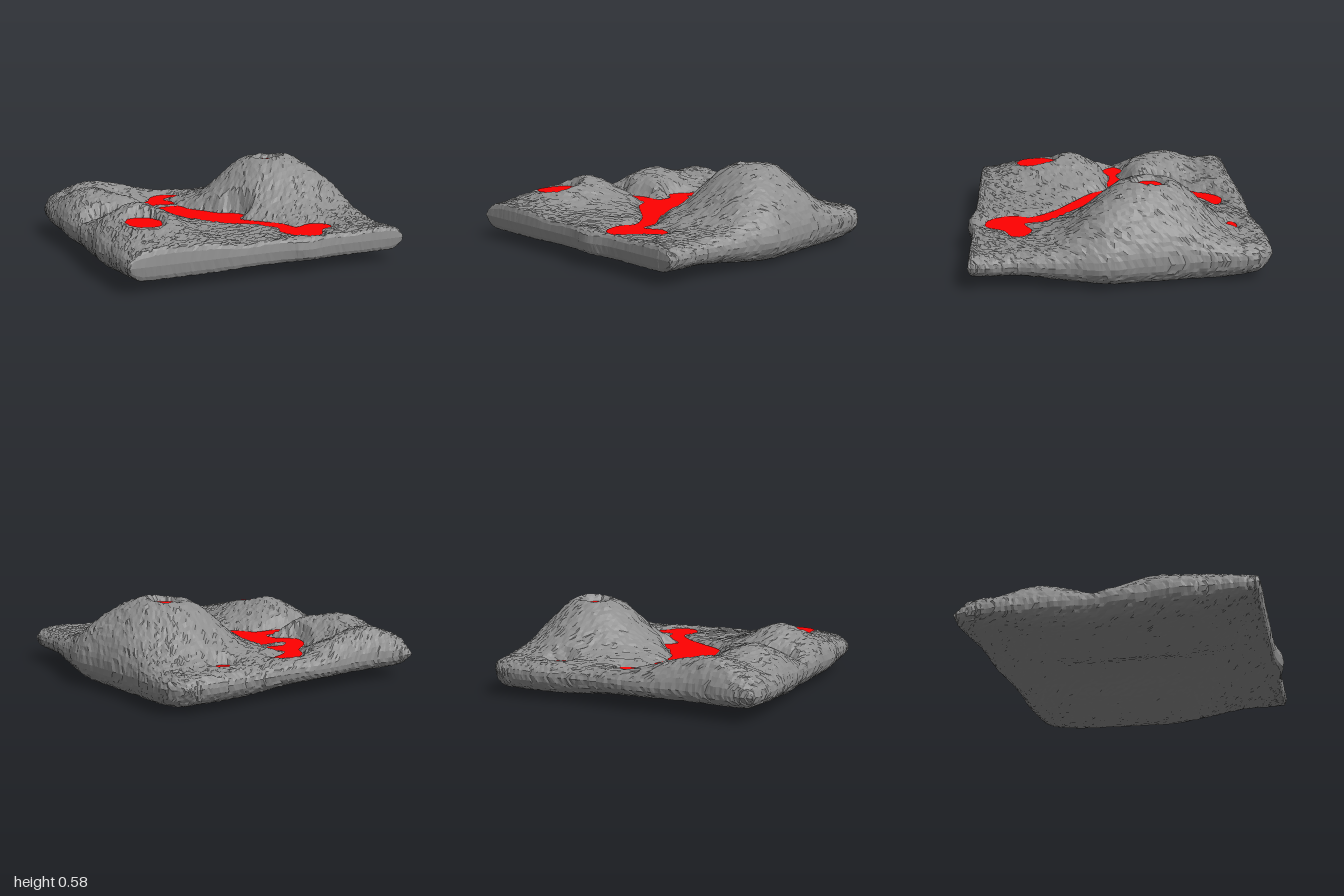
import * as THREE from 'three';

const N = 96; // grid cells per side
const bell = (d, s) => Math.exp(-(d * d) / (s * s));
const hill = (x, z, cx, cz, sx, sz) => bell(x - cx, sx) * bell(z - cz, sz);
const hash = (i, j, k) => {
  const s = Math.sin(i * 127.1 + j * 311.7 + k * 74.7) * 43758.5453;
  return s - Math.floor(s) - 0.5;
};

// Lava river outline, x and z pairs
const riverXZ = [
  0.04, -0.72, 0, -0.77, -0.11, -0.79, -0.2, -0.72, -0.25, -0.62, -0.37, -0.53, -0.44, -0.42,
  -0.45, -0.34, -0.35, -0.25, -0.35, -0.14, -0.51, -0.14, -0.67, -0.09, -0.78, -0.15, -0.88, -0.09,
  -0.8, 0, -0.64, -0.04, -0.48, -0.01, -0.35, 0, -0.27, 0.12, -0.08, 0.27, 0.08, 0.4,
  0.19, 0.56, 0.15, 0.67, 0.23, 0.83, 0.35, 0.84, 0.43, 0.72, 0.53, 0.67, 0.53, 0.59,
  0.43, 0.54, 0.31, 0.59, 0.28, 0.47, 0.16, 0.32, 0.09, 0.22, 0.17, 0.11, 0.13, 0.02,
  0.04, -0.02, -0.02, -0.13, -0.09, -0.24, -0.12, -0.37, -0.27, -0.37, -0.31, -0.4, -0.24, -0.46,
  -0.12, -0.44, -0.1, -0.53, -0.13, -0.62, -0.05, -0.68,
];

function smoothOutline(xz) {
  const pts = [];
  for (let i = 0; i < xz.length; i += 2) pts.push(new THREE.Vector3(xz[i], xz[i + 1], 0));
  return new THREE.CatmullRomCurve3(pts, true, 'centripetal').getPoints(pts.length * 3).slice(0, -1);
}

function oval(cx, cz, rx, rz) {
  const pts = [];
  for (let i = 0; i < 20; i++) {
    const a = (i / 20) * Math.PI * 2, r = 1 + 0.1 * hash(i, cx, 3);
    pts.push(new THREE.Vector3(cx + rx * r * Math.cos(a), cz + rz * r * Math.sin(a), 0));
  }
  return pts;
}

// Flat pools: outline, surface level and width of the surrounding bank
const pools = [
  { name: 'lavaRiver', pts: smoothOutline(riverXZ), y: 0.212, bank: 0.08 },
  { name: 'frontCraterLava', pts: oval(-0.71, 0.5, 0.11, 0.15), y: 0.32, bank: 0.05 },
  { name: 'summitCraterLava', pts: oval(0.51, -0.2, 0.075, 0.085), y: 0.53, bank: 0.05 },
  { name: 'smallCraterLava', pts: oval(0.455, -0.755, 0.062, 0.036), y: 0.22, bank: 0.07 },
];

// Distance from a point to an outline, zero inside
function distanceTo(pts, x, z) {
  let inside = false, best = Infinity;
  for (let i = 0, j = pts.length - 1; i < pts.length; j = i++) {
    const a = pts[i], b = pts[j], dx = b.x - a.x, dz = b.y - a.y;
    if ((a.y > z) !== (b.y > z) && x < a.x + (dx * (z - a.y)) / dz) inside = !inside;
    const t = THREE.MathUtils.clamp(((x - a.x) * dx + (z - a.y) * dz) / (dx * dx + dz * dz), 0, 1);
    best = Math.min(best, Math.hypot(x - a.x - t * dx, z - a.y - t * dz));
  }
  return inside ? 0 : best;
}

// Ground height: base, mountain with spur, back-left ridges, front crater hill
function topHeight(x, z) {
  const r = Math.hypot((x - 0.5) / 0.38, (z + 0.22) / (z < -0.22 ? 0.37 : 0.43));
  let h = 0.23 + 0.345 * Math.exp(-(r ** 2.5));
  h += 0.1 * hill(x, z, 0.78, 0.1, 0.24, 0.25);
  h += 0.15 * hill(x, z, -0.73, -0.45, 0.23, 0.28);
  h += 0.11 * hill(x, z, -0.57, -0.84, 0.32, 0.14);
  h += 0.05 * hill(x, z, -0.53, -0.26, 0.15, 0.1);
  h += 0.165 * hill(x, z, -0.66, 0.28, 0.27, z < 0.28 ? 0.25 : 0.48);
  h += 0.006 * Math.sin(13 * x + 5 * z) * Math.sin(11 * z - 4 * x);
  for (const p of pools) {
    const d = distanceTo(p.pts, x, z);
    if (d < 0.012) return Math.min(h, p.y - 0.012);
    h = p.y + (h - p.y) * THREE.MathUtils.smoothstep(d, 0.0, p.bank);
  }
  return h;
}

// Underside sags a little beneath the hills
function bottomHeight(x, z) {
  const sag = (cx, cz, sx, sz) => Math.exp(-(((x - cx) / sx) ** 4) - ((z - cz) / sz) ** 4);
  return 0.08 - 0.074 * sag(0.56, -0.25, 0.45, 0.66) - 0.06 * sag(-0.62, 0.1, 0.36, 0.68);
}

const roundOff = (d, r) => (d >= r ? 1 : Math.sqrt(Math.max(0, 1 - (1 - d / r) ** 2)));
const spread = (t) => Math.sign(t) * (1 - (1 - Math.abs(t)) ** 1.3);

// Closed slab: top and bottom grids meeting along a rounded rim
function terrainGeometry() {
  const pos = [], idx = [], row = N + 1, side = row * row;
  for (let layer = 0; layer < 2; layer++) {
    for (let j = 0; j <= N; j++) {
      for (let i = 0; i <= N; i++) {
        const u = spread((2 * i) / N - 1), v = spread((2 * j) / N - 1);
        const zRough = v * 0.94;
        const corner = THREE.MathUtils.smoothstep(-zRough, 0.78, 0.95);
        const right = 0.91 + 0.083 * bell(zRough - 0.08, 0.36) - 0.1 * corner * corner;
        const left = 0.96 + 0.03 * bell(zRough - 0.45, 0.35) + 0.025 * bell(zRough + 0.5, 0.35) - 0.03 * corner * corner;
        const wobble = 0.005 * Math.sin(17 * zRough);
        let x = u > 0 ? u * (right + wobble) : u * (left + wobble);
        const back = 0.957 + 0.01 * Math.cos(9 * x + 1.5);
        const front = 0.93 + 0.037 * bell(x - 0.2, 0.12) * THREE.MathUtils.smoothstep(v, 0.96, 1);
        let z = v > 0 ? v * front : v * back;
        const f = roundOff(1 - Math.abs(u), 0.11) * roundOff(1 - Math.abs(v), v > 0 ? 0.025 : 0.1);
        const goal = layer ? bottomHeight(x, z) : topHeight(x, z);
        const jitter = (layer ? 0.006 : 0.012) * hash(i, j, layer);
        const y = 0.16 + (goal + jitter - 0.16) * f;
        // Roughen sideways, the rim itself moving alike in both layers
        x += 0.009 * hash(i, j, 5);
        z += (v > 0.97 ? 0.002 : 0.009) * hash(i, j, 7);
        pos.push(x, Math.max(0, y), z);
      }
    }
    for (let j = 0; j < N; j++) {
      for (let i = 0; i < N; i++) {
        const a = layer * side + j * row + i, b = a + row, c = a + 1, d = b + 1;
        if (layer) idx.push(a, c, b, c, d, b);
        else idx.push(a, b, c, c, b, d);
      }
    }
  }
  const g = new THREE.BufferGeometry();
  g.setAttribute('position', new THREE.Float32BufferAttribute(pos, 3));
  g.setIndex(idx);
  g.computeVertexNormals();
  return g;
}

export function createModel() {
  const group = new THREE.Group();
  group.name = 'volcanicTerrain';
  const rock = new THREE.MeshStandardMaterial({ color: 0x8e8e8e, flatShading: true });
  const lava = new THREE.MeshStandardMaterial({ color: 0xff0000, side: THREE.DoubleSide });

  const ground = new THREE.Mesh(terrainGeometry(), rock);
  ground.name = 'rockGround';
  group.add(ground);

  // Lava surfaces
  for (const p of pools) {
    const shape = new THREE.Shape(p.pts.map((q) => new THREE.Vector2(q.x, -q.y)));
    const mesh = new THREE.Mesh(new THREE.ShapeGeometry(shape).rotateX(-Math.PI / 2), lava);
    mesh.position.y = p.y;
    mesh.name = p.name;
    group.add(mesh);
  }
  return group;
}
